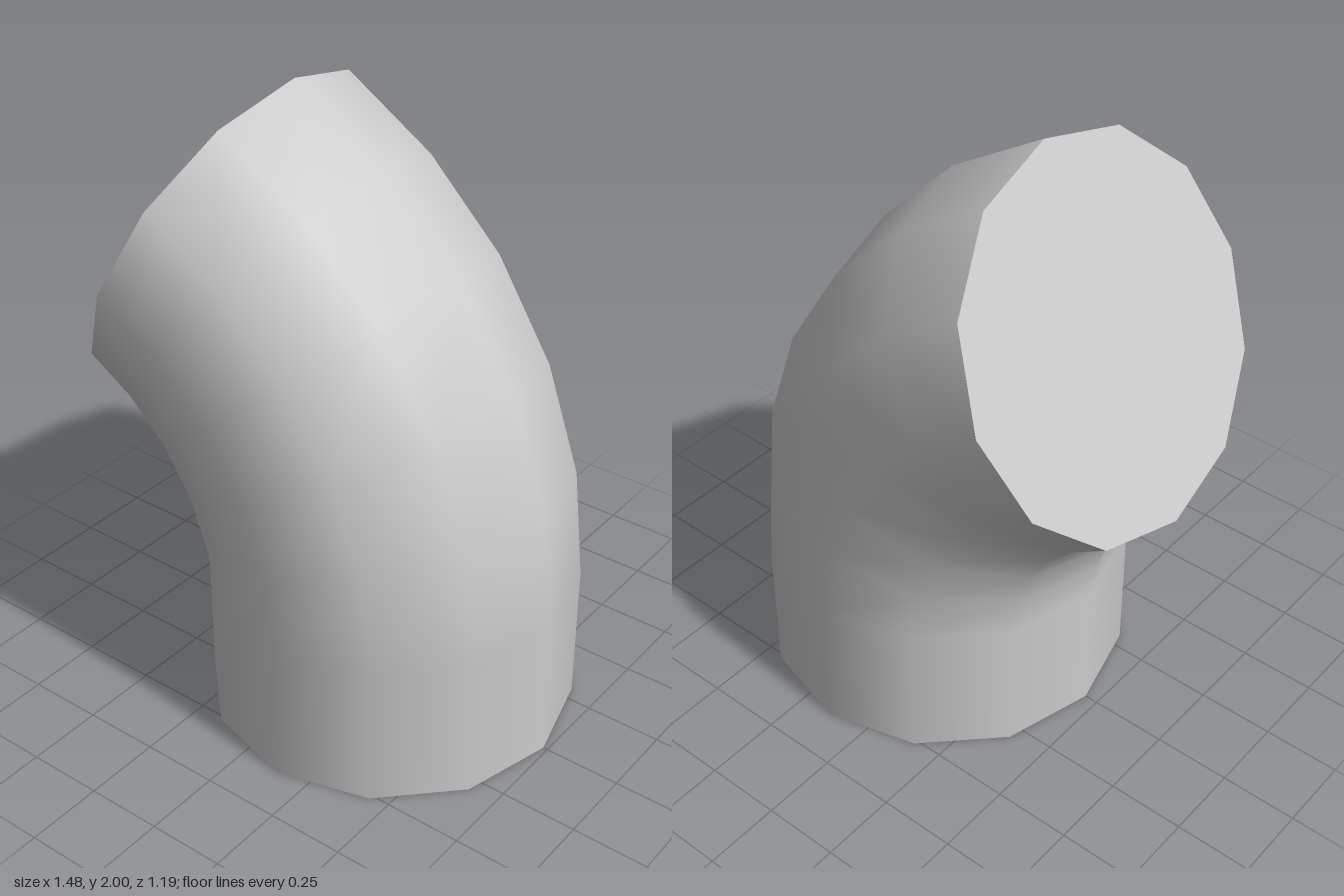
import * as THREE from 'three';

const SIDES = 12, RADIUS = 0.595;
const BEND_STEPS = 5, BEND_ANGLE = THREE.MathUtils.degToRad(64.4), BEND_RADIUS = 1.1;
const PIVOT = new THREE.Vector3(0.14 - BEND_RADIUS, 0.47, 0); // centre of the bend
const Z_AXIS = new THREE.Vector3(0, 0, 1);

export function createModel() {
  const group = new THREE.Group();
  group.name = 'pipeElbow';
  const material = new THREE.MeshStandardMaterial({ color: 0xcccccc, side: THREE.DoubleSide });

  // Open tube: a straight foot, then rings swung around the pivot
  const rows = BEND_STEPS + 1;
  const tube = new THREE.CylinderGeometry(RADIUS, RADIUS, rows, SIDES, rows, true);
  const { position, normal } = tube.attributes;
  const p = new THREE.Vector3(), n = new THREE.Vector3();
  for (let i = 0; i < position.count; i++) {
    p.fromBufferAttribute(position, i);
    n.fromBufferAttribute(normal, i);
    const ring = Math.round(p.y + rows / 2); // 0 at the foot
    const angle = (Math.max(ring - 1, 0) / BEND_STEPS) * BEND_ANGLE;
    p.set(p.x + BEND_RADIUS, 0, p.z).applyAxisAngle(Z_AXIS, angle).add(PIVOT);
    if (ring === 0) p.y = 0;
    n.applyAxisAngle(Z_AXIS, angle);
    position.setXYZ(i, p.x, p.y, p.z);
    normal.setXYZ(i, n.x, n.y, n.z);
  }
  const tubeMesh = new THREE.Mesh(tube, material);
  tubeMesh.name = 'bentTube';

  // Flat disc closing the upper end
  const cap = new THREE.CircleGeometry(RADIUS, SIDES);
  cap.rotateX(-Math.PI / 2).translate(BEND_RADIUS, 0, 0).rotateZ(BEND_ANGLE);
  cap.translate(PIVOT.x, PIVOT.y, 0);
  const capMesh = new THREE.Mesh(cap, material);
  capMesh.name = 'endCap';

  group.add(tubeMesh, capMesh);
  return group;
}
